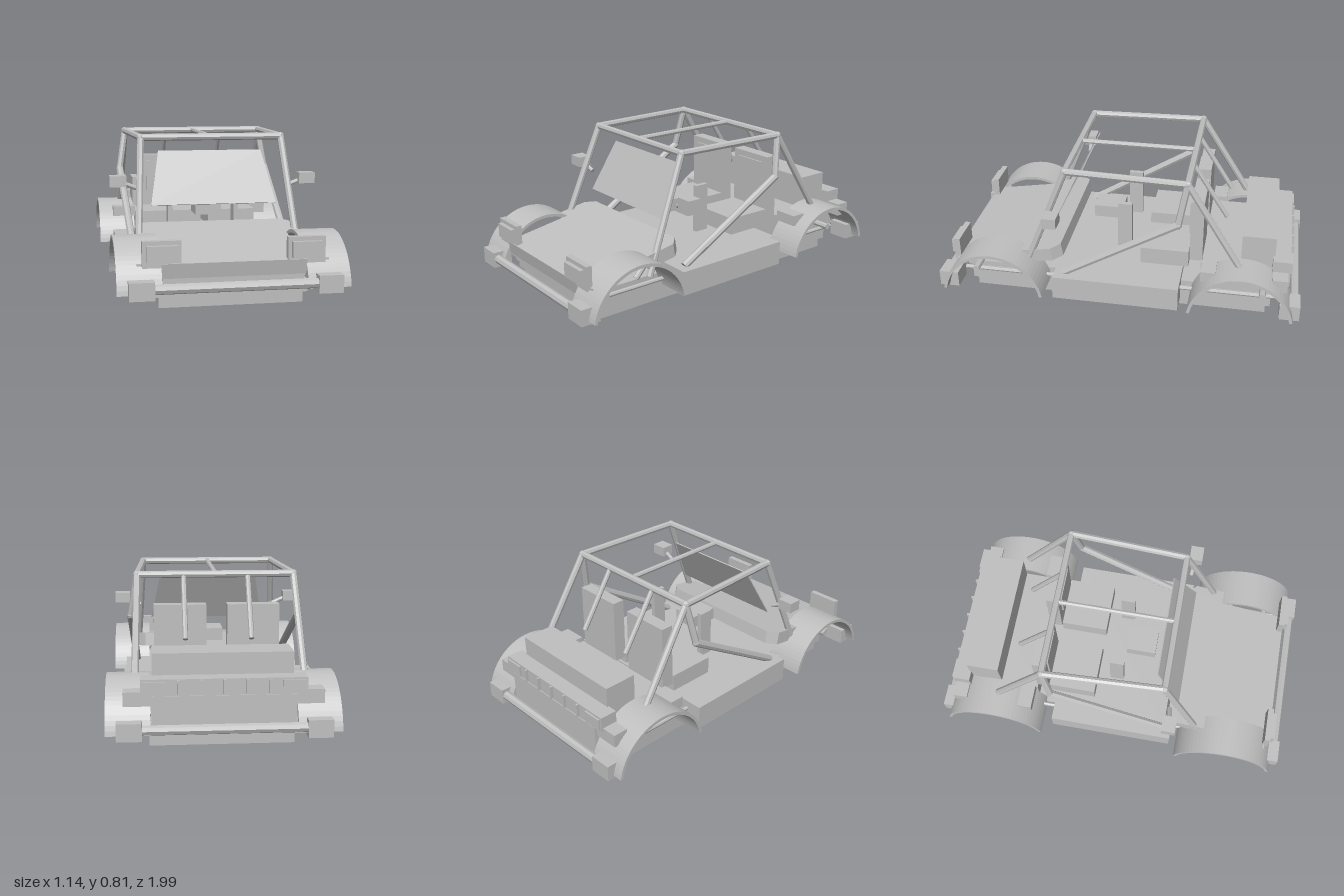
import * as THREE from 'three';

export function createModel() {
  const model = new THREE.Group();
  model.name = 'openBuggy';
  const grey = new THREE.MeshStandardMaterial({ color: 0xc0c0c0, flatShading: true, side: THREE.DoubleSide });
  grey.name = 'grey';

  const add = (name, geometry) => {
    const mesh = new THREE.Mesh(geometry, grey);
    mesh.name = name;
    model.add(mesh);
    return mesh;
  };
  // Box given by its limits on each axis
  const box = (name, x0, x1, y0, y1, z0, z1) =>
    add(name, new THREE.BoxGeometry(x1 - x0, y1 - y0, z1 - z0))
      .position.set((x0 + x1) / 2, (y0 + y1) / 2, (z0 + z1) / 2);
  const wideBox = (name, x, ...rest) => box(name, -x, x, ...rest);
  const pairBox = (name, x0, x1, ...rest) => {
    box(name + 'Left', x0, x1, ...rest);
    box(name + 'Right', -x1, -x0, ...rest);
  };
  // Straight bar between two points
  const bar = (name, a, b, r = 0.019) => {
    const p = new THREE.Vector3(...a), q = new THREE.Vector3(...b);
    const d = q.clone().sub(p);
    const mesh = add(name, new THREE.CylinderGeometry(r, r, d.length(), 8));
    mesh.position.copy(p).add(q).multiplyScalar(0.5);
    mesh.quaternion.setFromUnitVectors(new THREE.Vector3(0, 1, 0), d.normalize());
  };
  const pairBar = (name, a, b, r) => {
    bar(name + 'Left', a, b, r);
    bar(name + 'Right', [-a[0], a[1], a[2]], [-b[0], b[1], b[2]], r);
  };

  // Stepped underbody, floor and side sills
  wideBox('skidPlate', 0.36, 0, 0.057, -0.815, 0.83);
  wideBox('lowerHull', 0.38, 0.057, 0.12, -0.84, 0.85);
  wideBox('floor', 0.35, 0.12, 0.15, -0.87, 0.885);
  wideBox('sills', 0.495, 0.05, 0.185, -0.345, 0.355);
  wideBox('nosePanel', 0.35, 0.15, 0.205, 0.84, 0.905);
  pairBar('sideRail', [0.4, 0.138, 0.88], [0.4, 0.138, -0.87], 0.012);

  // Sloping hood, wider at the cowl
  const half = [[0.355, 0.605], [0.355, 0.22], [0.43, 0.22], [0.43, 0.05], [0.38, 0]];
  const outline = [...half, ...half.map(([x, y]) => [-x, y]).reverse()];
  const hoodGeo = new THREE.ExtrudeGeometry(
    new THREE.Shape(outline.map(p => new THREE.Vector2(...p))), { depth: 0.075, bevelEnabled: false });
  hoodGeo.rotateX(Math.PI / 2).rotateX(0.168);
  add('hood', hoodGeo).position.set(0, 0.337, 0.325);

  // Headlights on a thin crossbar
  wideBox('headlightBracket', 0.47, 0.22, 0.235, 0.87, 0.9);
  pairBox('headlight', 0.26, 0.447, 0.217, 0.346, 0.885, 0.917);
  pairBox('headlightLens', 0.278, 0.426, 0.247, 0.325, 0.917, 0.94);

  // Arched fenders
  const arch = new THREE.Shape();
  arch.absarc(0, 0, 0.285, 0.17, Math.PI - 0.17, false);
  arch.absarc(0, 0, 0.268, Math.PI - 0.17, 0.17, true);
  for (const z of [0.675, -0.68]) {
    for (const x of [0.57, -0.355]) {
      const geo = new THREE.ExtrudeGeometry(arch, { depth: 0.215, bevelEnabled: false, curveSegments: 16 });
      add(z > 0 ? 'frontFender' : 'rearFender', geo.rotateY(-Math.PI / 2)).position.set(x, 0.05, z);
    }
  }

  // Axle stubs and suspension links
  for (const z of [0.805, -0.795]) pairBar('axleStub', [0.34, 0.16, z], [0.45, 0.16, z], 0.018);
  pairBar('suspensionLink', [0.41, 0.19, 0.6], [0.41, 0.28, 0.52], 0.016);

  // Rear body, engine cover and tail panel
  wideBox('rearDeck', 0.35, 0.12, 0.282, -0.935, -0.45);
  wideBox('engineCover', 0.345, 0.28, 0.47, -0.845, -0.665);
  wideBox('tailPanel', 0.4, 0.28, 0.363, -0.93, -0.835);
  pairBox('tailBracket', 0.35, 0.485, 0.23, 0.3, -0.92, -0.84);
  pairBox('fenderBracket', 0.35, 0.485, 0.25, 0.31, -0.54, -0.46);
  pairBox('tailLight', 0.28, 0.39, 0.29, 0.352, -0.94, -0.93);
  for (let i = -2; i <= 2; i++) box('tailStud', i * 0.11 - 0.006, i * 0.11 + 0.006, 0.29, 0.36, -0.945, -0.93);

  // Front and rear bumpers
  for (const s of [1, -1]) {
    bar(s > 0 ? 'frontBumper' : 'rearBumper', [-0.41, 0.127, s * 0.968], [0.41, 0.127, s * 0.968], 0.025);
    pairBox('bumperEnd', 0.395, 0.517, 0.08, 0.168, s * 0.942 - 0.054, s * 0.942 + 0.054);
  }

  // Roll cage
  const front = [0.385, 0.79, 0.285], rear = [0.415, 0.79, -0.37], elbow = [0.45, 0.565, -0.33];
  pairBar('roofRail', front, rear);
  pairBar('frontPillar', front, [0.425, 0.185, 0.525]);
  pairBar('rearHoop', rear, elbow);
  pairBar('sideDiagonal', elbow, [0.43, 0.185, 0.3], 0.021);
  pairBar('rearStay', rear, [0.43, 0.28, -0.69]);
  pairBar('shortStay', [0.17, 0.79, -0.37], [0.17, 0.48, -0.57], 0.014);
  bar('frontRoofBar', [-0.385, 0.79, 0.285], front);
  bar('rearRoofBar', [-0.415, 0.79, -0.37], rear);
  bar('centreRoofRail', [0, 0.79, 0.285], [0, 0.79, -0.37], 0.014);
  for (const s of [1, -1]) {
    for (const [x, y, z] of [front, rear, elbow]) {
      add('cageJoint', new THREE.SphereGeometry(0.021, 8, 6)).position.set(s * x, y, z);
    }
  }

  // Windshield: trapezoid leaning back
  const pane = new THREE.BoxGeometry(0.68, 0.31, 0.006);
  const pos = pane.attributes.position;
  for (let i = 0; i < pos.count; i++) {
    if (pos.getY(i) > 0) pos.setX(i, pos.getX(i) * 0.84);
  }
  pane.rotateX(-0.455);
  add('windshield', pane).position.set(0, 0.573, 0.302);

  // Wing mirrors
  pairBox('mirror', 0.47, 0.558, 0.536, 0.594, 0.3, 0.375);
  pairBar('mirrorArm', [0.405, 0.52, 0.325], [0.49, 0.555, 0.335], 0.012);

  // Seats
  pairBox('seatBase', 0.055, 0.335, 0.235, 0.33, -0.38, -0.115);
  pairBox('seatBack', 0.055, 0.33, 0.28, 0.64, -0.455, -0.385);
  pairBox('seatPad', 0.1, 0.285, 0.42, 0.605, -0.385, -0.375);

  // Centre console and upright levers
  wideBox('console', 0.072, 0.35, 0.42, 0.03, 0.195);
  pairBox('lever', 0.178, 0.205, 0.25, 0.52, -0.045, 0.035);

  return model;
}
